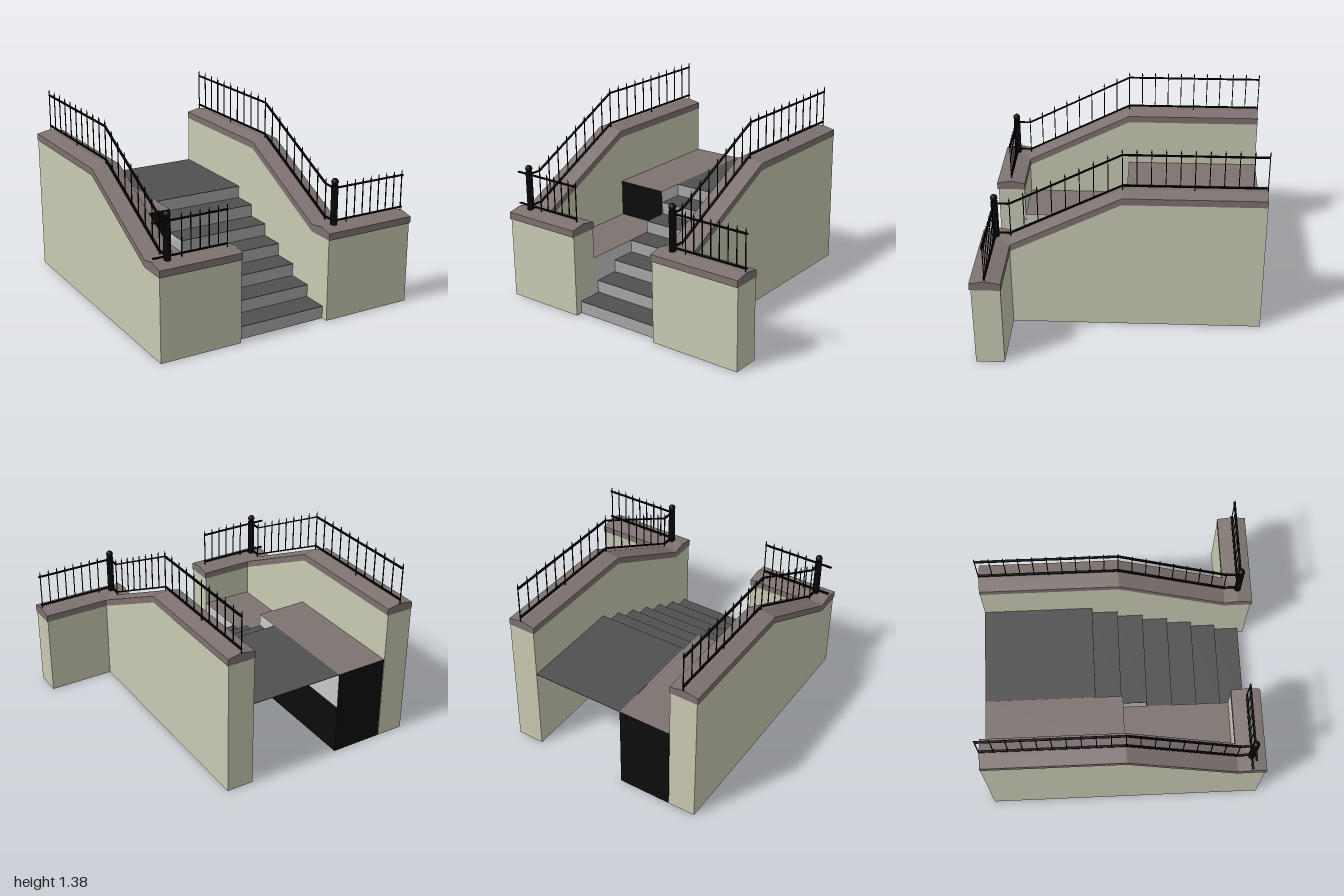
import * as THREE from 'three';

const mat = (name, color, side = THREE.FrontSide) => {
  const m = new THREE.MeshStandardMaterial({ color, side });
  m.name = name;
  return m;
};

// Solid with a (z, y) outline, spanning x0..x1
function profileSolid(points, x0, x1) {
  const shape = new THREE.Shape(points.map(([z, y]) => new THREE.Vector2(z, y)));
  const g = new THREE.ExtrudeGeometry(shape, { depth: x1 - x0, bevelEnabled: false });
  return g.rotateY(-Math.PI / 2).translate(x1, 0, 0);
}

// Gabled coping lofted along z through [z, base height] stations, front to back
function copingRun(stations, x0, x1) {
  const pos = [], idx = [], n = 5, mid = (x0 + x1) / 2;
  for (const [z, y] of stations) {
    pos.push(x0, y, z, x1, y, z, x1, y + 0.05, z, mid, y + 0.07, z, x0, y + 0.05, z);
  }
  for (let s = 0; s < stations.length - 1; s++) {
    for (let i = 0; i < n; i++) {
      const a = s * n + i, b = s * n + (i + 1) % n;
      idx.push(a, a + n, b, b, a + n, b + n);
    }
  }
  const e = (stations.length - 1) * n;
  for (let i = 1; i < n - 1; i++) idx.push(0, i, i + 1, e, e + i + 1, e + i);
  const g = new THREE.BufferGeometry();
  g.setAttribute('position', new THREE.Float32BufferAttribute(pos, 3));
  g.setIndex(idx);
  const flat = g.toNonIndexed();
  flat.computeVertexNormals();
  return flat;
}

export function createModel() {
  const root = new THREE.Group();
  root.name = 'gardenStairway';
  const render = mat('cream render', 0xc9cab3);
  const stone = mat('brown stone', 0x7d7270);
  const tread = mat('dark tread', 0x505050);
  const riser = mat('grey riser', 0xa6a6a6);
  const pale = mat('pale concrete', 0xc8c8c8);
  const dark = mat('black base', 0x0c0c0c);
  const iron = mat('black iron', 0x060606);

  const add = (parent, name, geometry, material) => {
    const m = new THREE.Mesh(geometry, material);
    m.name = name;
    parent.add(m);
    return m;
  };
  const block = (parent, name, x0, x1, y0, y1, z0, z1, material) => {
    const m = add(parent, name, new THREE.BoxGeometry(x1 - x0, y1 - y0, z1 - z0), material);
    m.position.set((x0 + x1) / 2, (y0 + y1) / 2, (z0 + z1) / 2);
    return m;
  };

  // Stairs: thin treads and risers, open underneath
  const stairs = new THREE.Group();
  stairs.name = 'stairs';
  root.add(stairs);
  const steps = 7, rise = 0.643 / steps, run = 0.19, t = 0.004;
  for (let i = 0; i < steps; i++) {
    const z = 0.94 - i * run, y = (i + 1) * rise;
    const back = i === steps - 1 ? -1 : z - run;
    block(stairs, 'riser', -0.4, 0.3, y - rise, y - t, z - t, z, [tread, tread, tread, tread, riser, tread]);
    block(stairs, i === steps - 1 ? 'landing' : 'tread', -0.4, 0.3, y - t, y, back, z, tread);
  }

  // Stepped planting ledges beside the stairs
  const ledge = [pale, dark, stone, dark, dark, dark];
  block(root, 'lowerLedge', -0.79, -0.4, 0, 0.37, 0, 0.79, ledge);
  block(root, 'upperLedge', -0.79, -0.4, 0.37, 0.642, -1, 0, ledge);
  block(root, 'upperLedgeBase', -0.79, -0.4, 0, 0.37, -1, 0, dark);

  // Square rail between two points
  const rail = (parent, a, b) => {
    const p = new THREE.Vector3(...a), q = new THREE.Vector3(...b);
    const m = add(parent, 'rail', new THREE.BoxGeometry(0.016, 0.009, p.distanceTo(q)), iron);
    m.position.copy(p).add(q).multiplyScalar(0.5);
    m.lookAt(q);
  };
  // Upright with a pointed tip
  const baluster = (parent, x, z, y0, y1) => {
    const w = 0.003;
    block(parent, 'baluster', x - w, x + w, y0, y1 - 0.025, z - w, z + w, iron);
    add(parent, 'balusterTip', new THREE.ConeGeometry(0.006, 0.03, 4), iron).position.set(x, y1 - 0.015, z);
  };

  // One side: wall running back, front return wall, copings and railing
  const side = (name, x0, x1, f0, f1, px, r0, r1, firstBar, bars) => {
    const g = new THREE.Group();
    g.name = name;
    root.add(g);
    const e = 0.004, zf = 0.895;
    add(g, 'wall', profileSolid([[-1, 0], [0.79, 0], [0.79, 0.6], [0, 0.995], [-1, 0.995]], x0 + e, x1 - e), render);
    block(g, 'frontWall', f0 + e, f1 - e, 0, 0.6, 0.79, 0.99, render);
    add(g, 'coping', copingRun([[zf, 0.6], [0.79, 0.6], [0, 0.995], [-1, 0.995]], x0, x1), stone);
    add(g, 'frontCoping', profileSolid([[0.787, 0.6], [1, 0.6], [1, 0.65], [zf, 0.67], [0.787, 0.65]], f0, f1), stone);

    const fence = new THREE.Group();
    fence.name = 'railing';
    g.add(fence);
    for (const y of [0.693, 0.93]) {
      rail(fence, [r0, y, zf], [r1, y, zf]);
      rail(fence, [px, y, zf], [px, y, 0.79]);
      rail(fence, [px, y, 0.79], [px, y + 0.4, 0]);
      rail(fence, [px, y + 0.4, 0], [px, y + 0.4, -1]);
    }
    // balusters on the slope, then on the level
    for (let i = 0; i <= 18; i++) {
      const z = i < 8 ? 0.79 * (1 - i / 8) : -(i - 8) / 10;
      const lift = 0.4 * Math.min(1, 1 - z / 0.79);
      const foot = i === 0 || i === 8 || i === 13 || i === 18 ? 0.66 : 0.69;
      baluster(fence, px, z, foot + lift, 0.978 + lift);
    }
    // balusters along the front
    for (let i = 0; i < bars; i++) {
      const foot = i === 0 || i === bars - 1 ? 0.66 : 0.69;
      baluster(fence, firstBar + i * 0.0675, zf, foot, 0.975);
    }
    // corner post with ball finial
    add(fence, 'post', new THREE.CylinderGeometry(0.025, 0.025, 0.29, 12), iron).position.set(px, 0.805, zf);
    add(fence, 'postBall', new THREE.SphereGeometry(0.026, 12, 8), iron).position.set(px, 0.975, zf);
  };
  side('rightSide', -1, -0.79, -1, -0.39, -0.89, -0.995, -0.445, -0.785, 6);
  side('leftSide', 0.293, 0.5, 0.293, 0.99, 0.4, 0.4, 0.99, 0.505, 8);

  return root;
}
